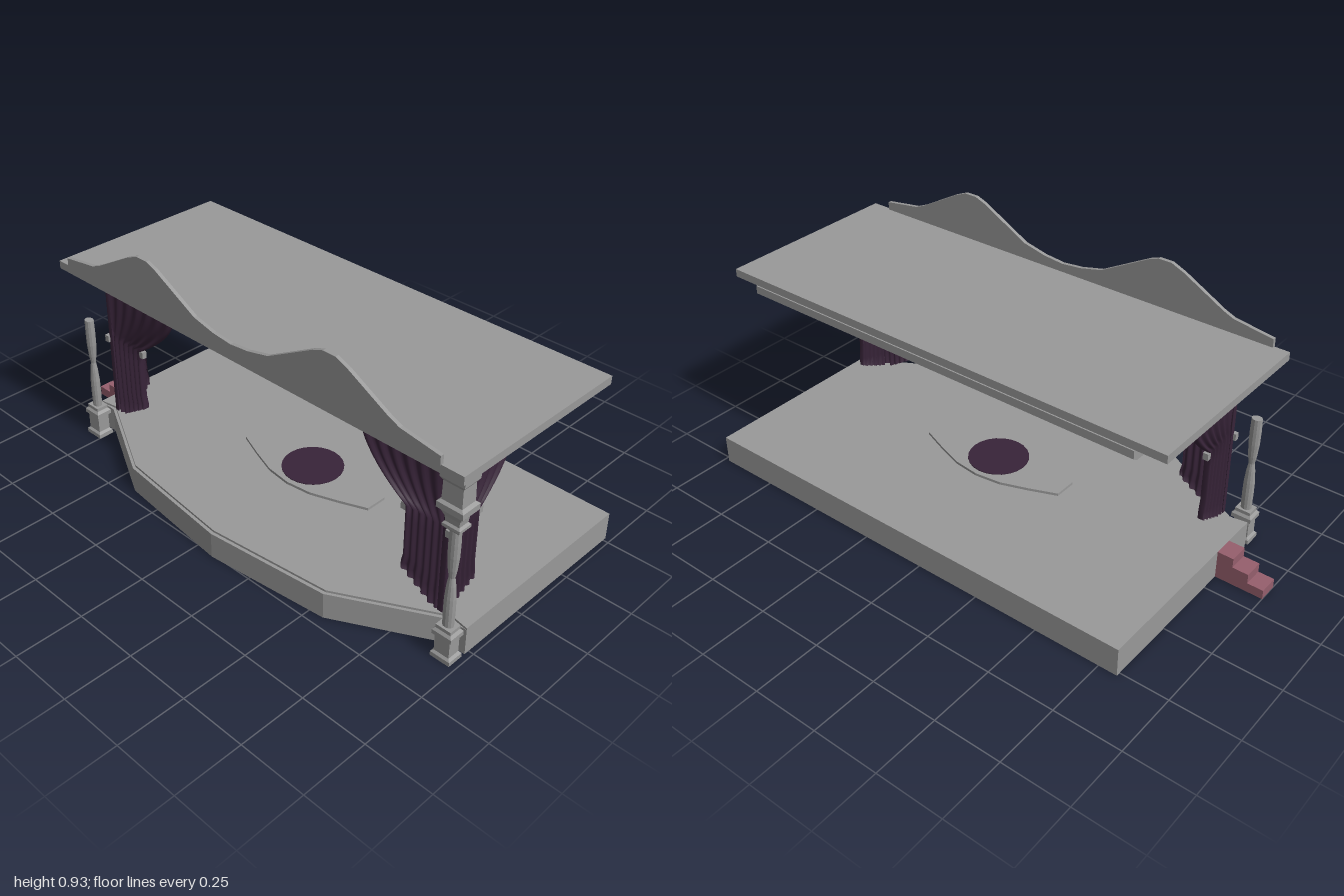
import * as THREE from 'three';

const CX = 0.08; // mirror plane of the stage
const stone = new THREE.MeshStandardMaterial({ color: 0x999999 });
stone.name = 'stone grey';
const cloth = new THREE.MeshStandardMaterial({ color: 0x382439, side: THREE.DoubleSide });
cloth.name = 'dark plum cloth';
const stepRed = new THREE.MeshStandardMaterial({ color: 0x965f6d });
stepRed.name = 'dusty rose';

function add(parent, name, geo, mat, x = 0, y = 0, z = 0) {
  const m = new THREE.Mesh(geo, mat);
  m.name = name;
  m.position.set(x, y, z);
  parent.add(m);
  return m;
}

function box(parent, name, mat, x0, x1, y0, y1, z0, z1) {
  return add(parent, name, new THREE.BoxGeometry(x1 - x0, y1 - y0, z1 - z0), mat,
    (x0 + x1) / 2, (y0 + y1) / 2, (z0 + z1) / 2);
}

// Flat slab from a plan outline of [x, z] points
function slab(pts, y0, y1) {
  const shape = new THREE.Shape(pts.map(([x, z]) => new THREE.Vector2(x, -z)));
  const g = new THREE.ExtrudeGeometry(shape, { depth: y1 - y0, bevelEnabled: false });
  return g.rotateX(-Math.PI / 2).translate(0, y0, 0);
}

// Plan of the stage floor, with its bowed front edge set back by an inset
const stagePlan = (inset) => {
  const half = [[0.9, -0.515], [0.9, 0.27], [0.83, 0.27 - inset], [0.475, 0.46 - inset]];
  return [...half.map(([x, z]) => [CX + x, z]), [CX, 0.51 - inset],
    ...half.reverse().map(([x, z]) => [CX - x, z])];
};

// Stack of rings turned into a solid, square or round
function turned(profile, sides) {
  const g = new THREE.LatheGeometry(profile.map(([r, y]) => new THREE.Vector2(r, y)), sides);
  if (sides === 4) g.rotateY(Math.PI / 4).scale(Math.SQRT2, 1, Math.SQRT2);
  const flat = g.toNonIndexed();
  flat.computeVertexNormals();
  return flat;
}

function column(name, x, withCapital) {
  const col = new THREE.Group();
  col.name = name;
  add(col, 'pedestal', turned([[0, 0], [0.031, 0], [0.031, 0.016], [0.024, 0.024], [0.024, 0.086],
    [0.031, 0.092], [0.031, 0.108], [0.024, 0.117], [0.024, 0.13], [0, 0.13]], 4), stone);
  const top = withCapital ? 0.51 : 0.503;
  add(col, 'shaft', turned([[0, 0.13], [0.016, 0.13], [0.017, 0.19], [0.0165, 0.24], [0.013, 0.29],
    [0.009, 0.32], [0.013, 0.35], [0.0165, 0.4], [0.017, 0.45], [0.016, top], [0, top]], 12), stone);
  if (withCapital) {
    add(col, 'capital', turned([[0, 0.505], [0.021, 0.505], [0.027, 0.513], [0.027, 0.523],
      [0.021, 0.53], [0.023, 0.55], [0.033, 0.575], [0.04, 0.579], [0.04, 0.6], [0.031, 0.608],
      [0.03, 0.675], [0.037, 0.688], [0.037, 0.72], [0, 0.72]], 4), stone);
  }
  col.scale.x = 1.22;
  col.position.set(x, 0, 0.316);
  return col;
}

// Gathered curtain panel: closed folded cross-sections stacked from top to hem
function curtainPanel(topW, lowW, hemRise, place) {
  const N = 48, rows = [];
  for (let i = 0; i <= 10; i++) { // swag with a bulging free edge
    const t = i / 10;
    rows.push([0.675 - 0.235 * t, lowW + (topW - lowW) * (1 - Math.pow(t, 1.9)), 0]);
  }
  for (let i = 1; i <= 6; i++) rows.push([0.44 - i * 0.325 / 6, lowW * (i < 5 ? 1 : 1.04), i / 6]);
  const pos = [], idx = [], ring = 2 * (N + 1);
  for (const [y, w, hem] of rows) {
    for (let k = 0; k < ring; k++) {
      const outer = k <= N;
      const u = (outer ? k : ring - 1 - k) / N;
      const fold = 0.006 * Math.sin(u * Math.PI * 2 * 6.5);
      const rise = hemRise * Math.max(0, (u - 0.3) / 0.7) * Math.pow(hem, 3);
      pos.push(...place(u * w, y + rise, fold + (outer ? 0.004 : -0.014)));
    }
  }
  for (let r = 0; r < rows.length - 1; r++) {
    for (let k = 0; k < ring; k++) {
      const a = r * ring + k, b = r * ring + (k + 1) % ring;
      idx.push(a, a + ring, b, b, a + ring, b + ring);
    }
  }
  for (const r of [0, rows.length - 1]) { // close top and hem
    for (let k = 0; k < N; k++) {
      const a = r * ring + k, b = r * ring + ring - 1 - k;
      idx.push(a, a + 1, b, b, a + 1, b - 1);
    }
  }
  const g = new THREE.BufferGeometry();
  g.setAttribute('position', new THREE.Float32BufferAttribute(pos, 3));
  g.setIndex(idx);
  g.computeVertexNormals();
  return g;
}

// Corner drape: one panel along the front, one running back, with tieback hooks
function drape(name, side) {
  const d = new THREE.Group();
  d.name = name;
  const X = (v) => CX + side * v;
  add(d, 'frontCurtain', curtainPanel(0.37, 0.175, 0.08, (s, y, o) => [X(0.81 - s), y, 0.265 + o]), cloth);
  add(d, 'sideCurtain', curtainPanel(0.295, 0.15, 0.05, (s, y, o) => [X(0.8 + o), y, 0.275 - s]), cloth);
  for (const [x, z] of [[0.627, 0.262], [0.797, 0.118], [0.81, 0.274]]) {
    const c = X(x);
    box(d, 'tiebackHook', stone, c - 0.01, c + 0.01, 0.418, 0.444, z - 0.009, z + 0.009);
  }
  return d;
}

export function createModel() {
  const model = new THREE.Group();
  model.name = 'theatreStage';

  // Stage floor with a narrow ledge along the bowed front
  add(model, 'stageBase', slab(stagePlan(0), 0, 0.1), stone);
  add(model, 'stageFloor', slab(stagePlan(0.012), 0.1, 0.108), stone);

  // Side steps
  for (let i = 0; i < 3; i++) {
    box(model, 'step', stepRed, -1 + i * 0.06, -0.94 + i * 0.06, 0, 0.036 * (i + 1), 0.07, 0.145);
  }

  // Low centre platform with a round inlay
  const q = [[0.305, 0.043], [0.2, 0.085], [0.1, 0.12], [0, 0.132], [-0.1, 0.12], [-0.2, 0.085], [-0.305, 0.043]];
  const plan = [...q, ...q.map(([x, z]) => [-x, -z])].map(([x, z]) => [x + CX, z + 0.017]);
  add(model, 'centrePlatform', slab(plan, 0.115, 0.125), stone);
  add(model, 'roundInlay', new THREE.CylinderGeometry(0.113, 0.113, 0.004, 24), cloth, CX, 0.126, 0.017);

  // Columns: one full, one broken off above its shaft
  model.add(column('leftColumn', 0.942, true), column('rightColumn', -0.785, false));

  // Roof slab and the soffit under it
  box(model, 'roof', stone, -0.84, 1, 0.72, 0.75, -0.348, 0.378);
  const prof = [[-0.288, 0.72], [-0.288, 0.685], [-0.272, 0.671], [0, 0.671], [0.335, 0.678], [0.353, 0.69], [0.353, 0.72]];
  const soffit = new THREE.ExtrudeGeometry(new THREE.Shape(prof.map(([a, b]) => new THREE.Vector2(a, b))),
    { depth: 1.62, bevelEnabled: false });
  add(model, 'soffit', soffit.rotateY(Math.PI / 2), stone, -0.73);

  // Double-crested front board
  const crest = [[0.07, 0.81], [0.17, 0.87], [0.24, 0.91], [0.32, 0.93], [0.42, 0.93],
    [0.5, 0.908], [0.66, 0.82], [0.7, 0.803], [0.85, 0.781], [0.85, 0.75]];
  crest.splice(0, 1, [0, 0.782], [0.08, 0.79], [0.17, 0.811], [0.36, 0.914]);
  const half = [...crest.slice(0, 4), [0.4, 0.929], [0.45, 0.929], ...crest.slice(8)];
  const board = new THREE.Shape([...half.map(([x, y]) => new THREE.Vector2(x, y)),
    ...half.slice(1).reverse().map(([x, y]) => new THREE.Vector2(-x, y))]);
  add(model, 'crestBoard', new THREE.ExtrudeGeometry(board, { depth: 0.014, bevelEnabled: false }),
    stone, 0.068, 0, 0.368);

  // Corner drapes
  model.add(drape('leftDrape', 1), drape('rightDrape', -1));
  return model;
}
